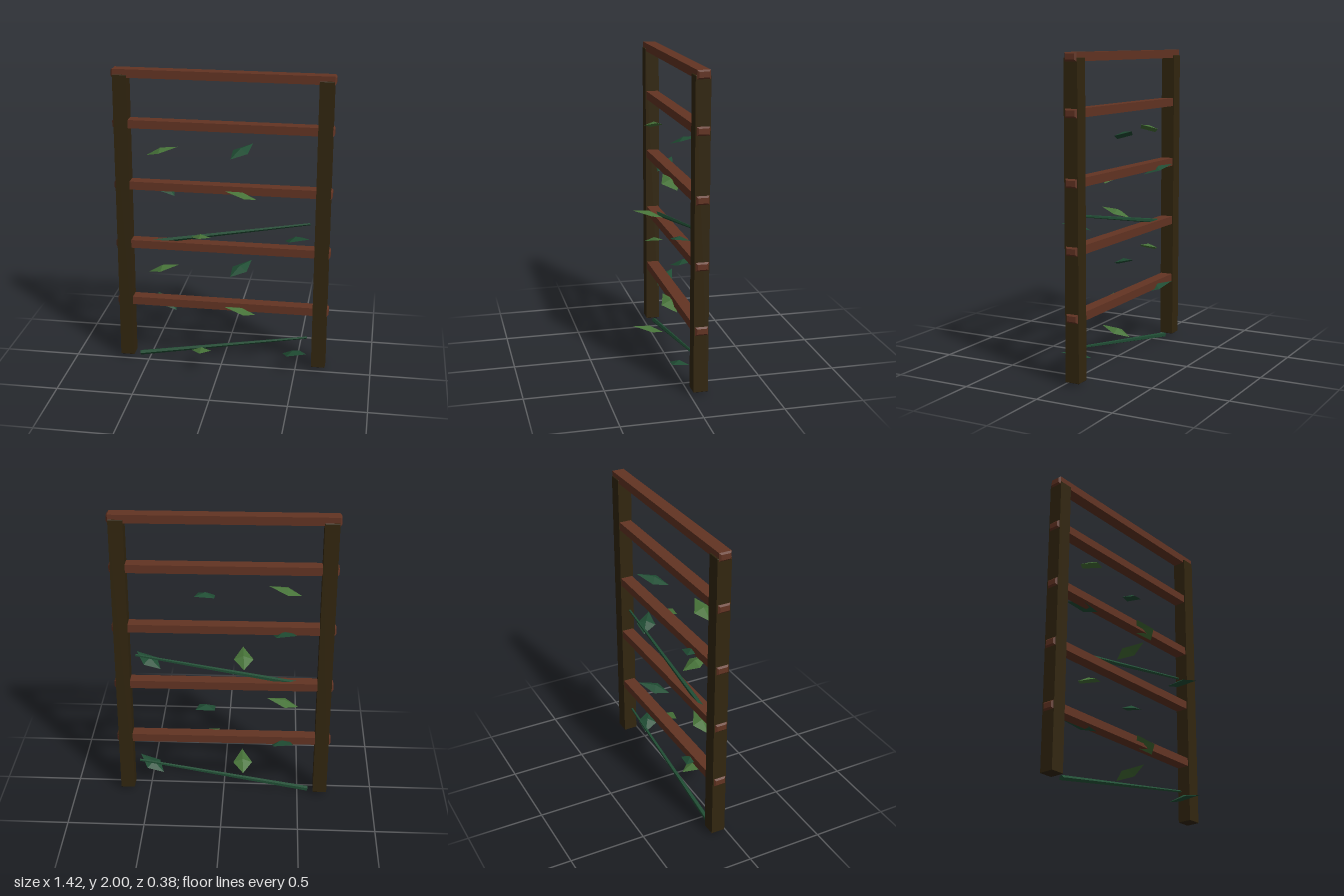
import * as THREE from 'three';

const mat = (name, color, extra = {}) => {
  const m = new THREE.MeshStandardMaterial({ color, flatShading: true, ...extra });
  m.name = name;
  return m;
};

// Bar of the given size along z, with chamfered long edges and ends
function chamferedBar(w, h, length, c) {
  const x = w / 2 - c, y = h / 2 - c;
  const s = new THREE.Shape([[-x, -y], [x, -y], [x, y], [-x, y]].map(p => new THREE.Vector2(...p)));
  const g = new THREE.ExtrudeGeometry(s, {
    depth: length - 2 * c, bevelEnabled: true, bevelSize: c, bevelThickness: c, bevelSegments: 1,
  });
  return g.translate(0, 0, c - length / 2);
}

// Kite-shaped leaf folded over a raised centre; base at origin, tip towards +z
function leafGeometry() {
  const g = new THREE.BufferGeometry();
  g.setAttribute('position', new THREE.Float32BufferAttribute([
    0, 0, 0, 0.065, 0.03, 0.09, 0, 0.064, 0.207, -0.065, 0.03, 0.09, 0, 0.054, 0.092,
  ], 3));
  g.setIndex([0, 4, 1, 1, 4, 2, 2, 4, 3, 3, 4, 0]);
  const flat = g.toNonIndexed();
  flat.computeVertexNormals();
  return flat;
}

export function createModel() {
  const group = new THREE.Group();
  group.name = 'trellis';
  const postWood = mat('dark post wood', 0x32260f);
  const railWood = mat('reddish rail wood', 0x633423);
  const lightLeaf = mat('light leaf green', 0x467238, { side: THREE.DoubleSide });
  const darkLeaf = mat('dark leaf green', 0x204d34, { side: THREE.DoubleSide });
  const add = (parent, name, geo, material) => {
    const m = new THREE.Mesh(geo, material);
    m.name = name;
    parent.add(m);
    return m;
  };
  const Z = -0.063;

  // Upright posts
  const postGeo = chamferedBar(0.092, 0.092, 1.945, 0.003).rotateX(Math.PI / 2);
  for (const s of [-1, 1]) add(group, s > 0 ? 'leftPost' : 'rightPost', postGeo, postWood).position.set(s * 0.652, 0.993, Z);

  // Cross rails, ends poking just past the posts
  const railGeo = chamferedBar(0.08, 0.054, 1.418, 0.01).rotateY(Math.PI / 2);
  [0.422, 0.83, 1.236, 1.646, 1.972].forEach((y, i) => {
    const r = add(group, 'rail' + (i + 1), railGeo, railWood);
    r.position.set(0, y, Z);
    r.rotation.set(0, 0.003, -0.003);
  });

  // Climbing vine, repeated on two levels
  const leafGeo = leafGeometry();
  const start = new THREE.Vector3(-0.57, 0.017, Z), end = new THREE.Vector3(0.57, 0.215, Z);
  const dir = end.clone().sub(start);
  const stemGeo = new THREE.CylinderGeometry(0.008, 0.017, dir.length(), 5);
  // base x, y, z, then tip x, z
  const leaves = [
    [-0.49, 0.64, -0.025, -0.283, -0.025, lightLeaf],
    [0.055, 0.635, -0.025, 0.175, -0.19, darkLeaf],
    [-0.31, 0.37, -0.03, -0.462, -0.168, darkLeaf],
    [0.227, 0.37, -0.03, 0.023, 0.015, lightLeaf],
    [-0.13, 0.1, -0.023, -0.117, 0.183, lightLeaf],
    [0.412, 0.1, -0.035, 0.584, 0.088, darkLeaf],
  ];
  for (const level of [0, 1]) {
    const vine = new THREE.Group();
    vine.name = level ? 'upperVine' : 'lowerVine';
    vine.position.y = level * 0.808;
    group.add(vine);
    const stem = add(vine, 'stem', stemGeo, darkLeaf);
    stem.position.copy(start).lerp(end, 0.5);
    stem.quaternion.setFromUnitVectors(new THREE.Vector3(0, 1, 0), dir.clone().normalize());
    for (const [x, y, z, tx, tz, material] of leaves) {
      const leaf = add(vine, 'leaf', leafGeo, material);
      leaf.position.set(x, y, z);
      leaf.rotation.y = Math.atan2(tx - x, tz - z);
    }
  }
  return group;
}
